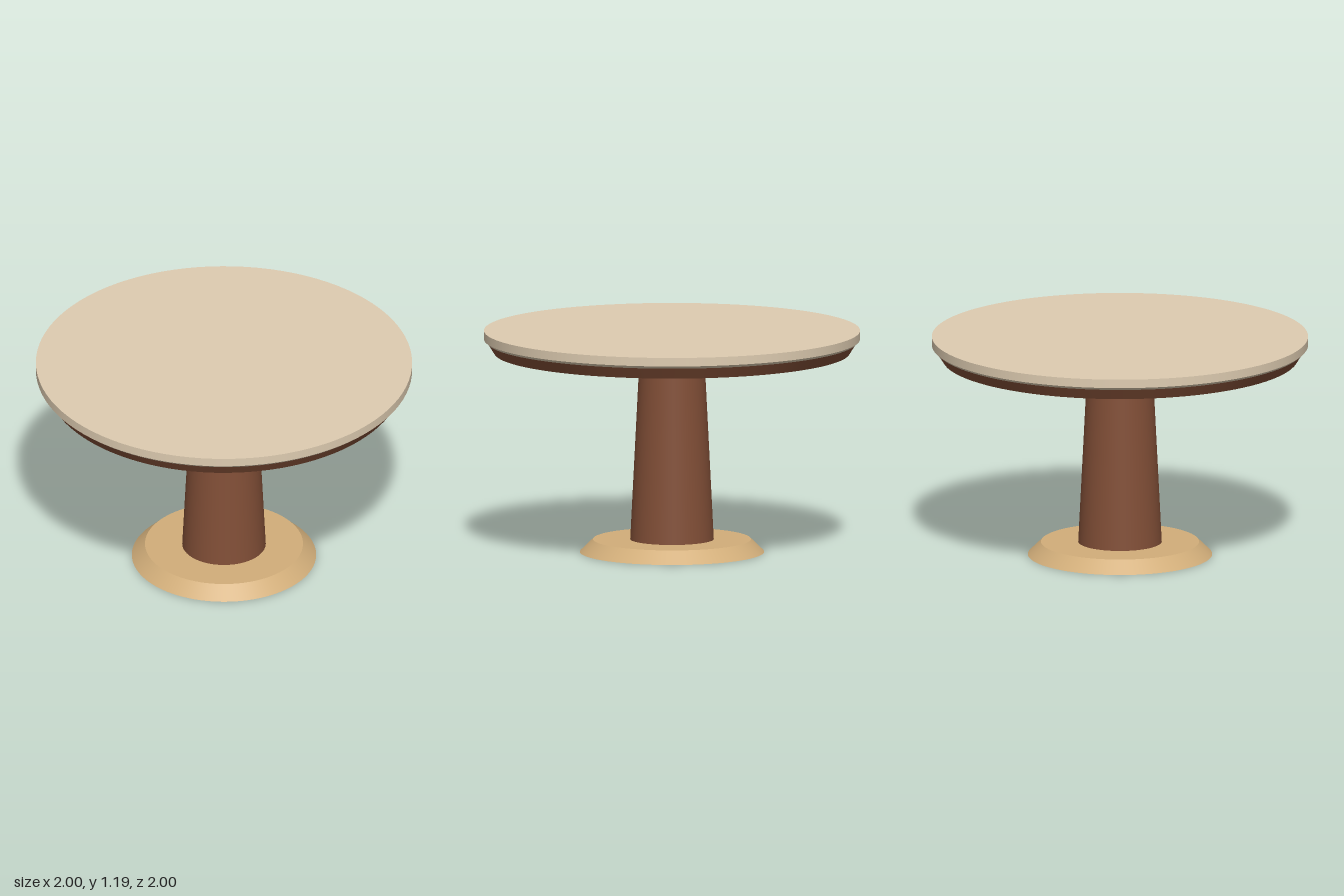
import * as THREE from 'three';

const material = (name, color) => {
  const m = new THREE.MeshStandardMaterial({ color });
  m.name = name;
  return m;
};

export function createModel() {
  const table = new THREE.Group();
  table.name = 'roundPedestalTable';

  const cream = material('creamTop', 0xdeccb1);
  const walnut = material('walnutWood', 0x824f37);
  const tan = material('tanWood', 0xd2ae7a);

  // Every part is a tapered disc or column between two heights
  const addRound = (name, mat, rBottom, rTop, y0, y1, openEnded = false) => {
    const geo = new THREE.CylinderGeometry(rTop, rBottom, y1 - y0, 96, 1, openEnded);
    const mesh = new THREE.Mesh(geo, mat);
    mesh.name = name;
    mesh.position.y = (y0 + y1) / 2;
    table.add(mesh);
  };

  // Foot and pedestal
  addRound('foot', tan, 0.49, 0.42, 0, 0.068);
  addRound('pedestal', walnut, 0.222, 0.172, 0.068, 1.055, true);
  addRound('collar', tan, 0.24, 0.262, 1.053, 1.069);

  // Tapered apron under the top
  addRound('apron', walnut, 0.945, 0.982, 1.069, 1.128);

  // Table top: straight rim with a small chamfer below
  addRound('topChamfer', cream, 0.984, 1, 1.128, 1.142);
  addRound('tableTop', cream, 1, 1, 1.142, 1.188);

  return table;
}
